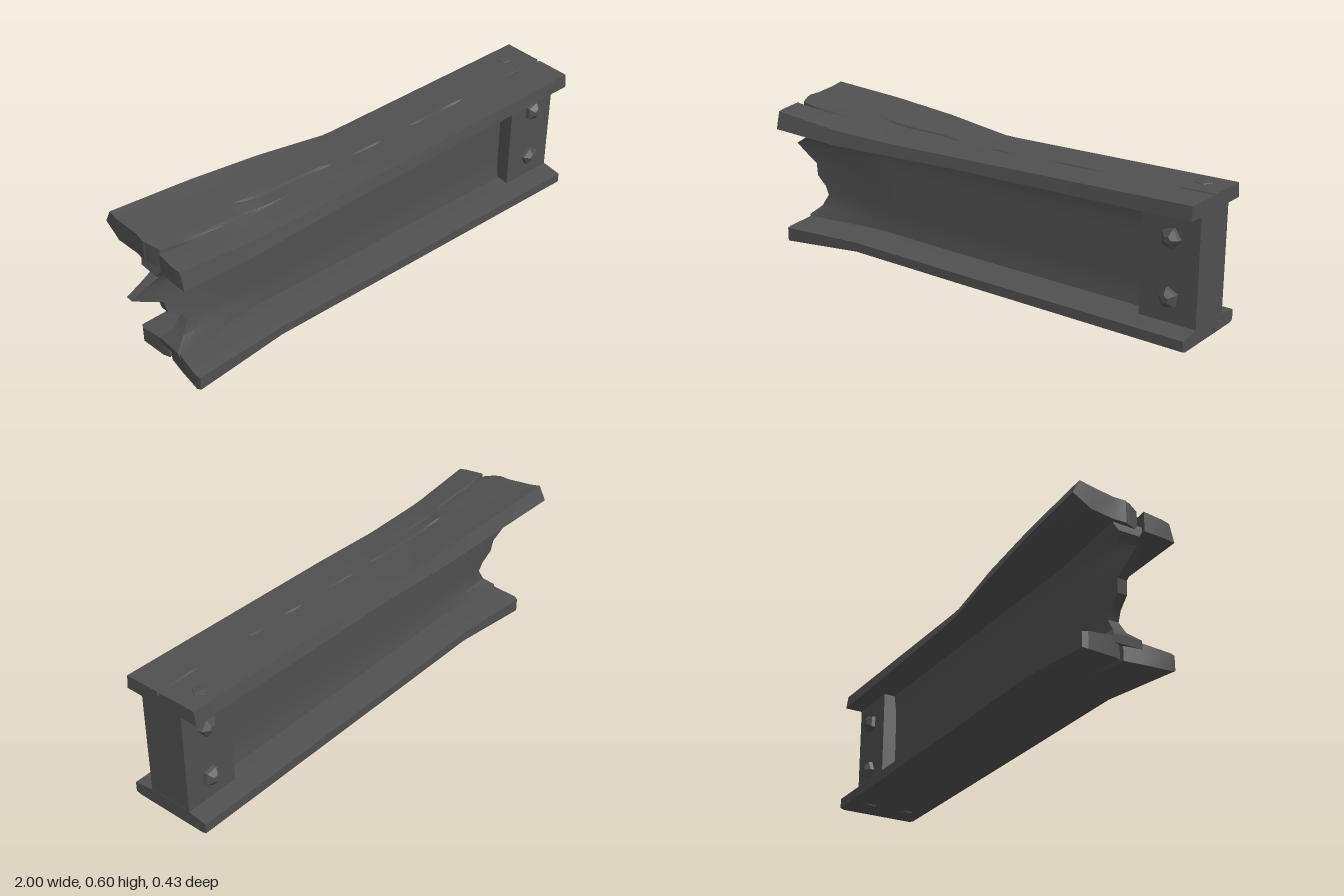
import * as THREE from 'three';
import { toCreasedNormals } from 'three/addons/utils/BufferGeometryUtils.js';

const steel = new THREE.MeshStandardMaterial({ color: 0x505050 });
steel.name = 'dark steel';

const lerp = THREE.MathUtils.lerp;

// Piecewise linear lookup of values ys at positions xs
function key(x, xs, ys) {
  let i = 0;
  while (i < xs.length - 2 && x > xs[i + 1]) i++;
  const t = THREE.MathUtils.clamp((x - xs[i]) / (xs[i + 1] - xs[i]), 0, 1);
  return lerp(ys[i], ys[i + 1], t);
}

// Closed solid between two grids of points: a faces along du x dv, b faces the other way
function shell(nu, nv, a, b) {
  const pos = [];
  const tri = (...pts) => pts.forEach((p) => pos.push(...p));
  const quad = (p, q, r, s) => tri(p, q, r, p, r, s);
  for (let i = 0; i < nu; i++) {
    for (let j = 0; j < nv; j++) {
      quad(a(i, j), a(i + 1, j), a(i + 1, j + 1), a(i, j + 1));
      quad(b(i, j), b(i, j + 1), b(i + 1, j + 1), b(i + 1, j));
    }
  }
  const rim = (i, j, k, l) => quad(a(k, l), a(i, j), b(i, j), b(k, l));
  for (let i = 0; i < nu; i++) {
    rim(i, 0, i + 1, 0);
    rim(i + 1, nv, i, nv);
  }
  for (let j = 0; j < nv; j++) {
    rim(nu, j, nu, j + 1);
    rim(0, j + 1, 0, j);
  }
  const g = new THREE.BufferGeometry();
  g.setAttribute('position', new THREE.Float32BufferAttribute(pos, 3));
  return toCreasedNormals(g, 0.45);
}

function part(name, geometry) {
  const mesh = new THREE.Mesh(geometry, steel);
  mesh.name = name;
  return mesh;
}

// Warped top flange with a split left end and a broken groove along its crown
function topFlange() {
  const xs = [-0.93, -0.6, -0.3, 0, 1];
  const across = [0, 0.17, 0.4, 0.51, 0.53, 0.55, 0.655, 0.685, 0.7, 0.88, 1];
  const ends = [-0.93, -0.93, -0.92, -0.925, -0.92, -0.92, -0.9, -0.76, -0.915, -0.915, -0.91];
  const n = 40, last = across.length - 1;
  const groove = [[-0.52, -0.1], [0.02, 0.14], [0.3, 0.55], [0.84, 1.1]];
  const frame = (i, j) => {
    const x = lerp(ends[i], 1, j / n), t = across[i];
    const zb = key(x, xs, [-0.22, -0.205, -0.185, -0.155, -0.145]);
    const zf = key(x, xs, [0.215, 0.203, 0.195, 0.195, 0.185]);
    return { x, t, z: lerp(zb, zf, t) };
  };
  const top = (i, j) => {
    const { x, t, z } = frame(i, j);
    let y = lerp(key(x, xs, [0.602, 0.588, 0.568, 0.54, 0.556]),
      key(x, xs, [0.56, 0.528, 0.525, 0.533, 0.555]), t);
    const damage = key(x, [-0.9, -0.5, 0.3], [1, 1, 0]);
    y += damage * 0.004 * Math.sin(x * 17 + t * 9) * Math.sin(t * Math.PI);
    if (i === 4) {
      for (const [s, e] of groove) {
        if (x > s && x < e) y -= 0.018 * Math.min(1, (x - s) * 12, (e - x) * 12);
      }
    }
    if (i === 7) y -= key(x, [-0.76, -0.6], [0.018, 0]);
    const inset = key(x, xs, [0.03, 0.025, 0.02, 0.015, 0.008]);
    return [x, y, z + (i === 0 ? inset : i === last ? -inset * 0.6 : 0)];
  };
  const bottom = (i, j) => {
    const { x, t, z } = frame(i, j);
    let y = lerp(key(x, xs, [0.505, 0.503, 0.5, 0.495, 0.5]),
      key(x, xs, [0.488, 0.471, 0.48, 0.49, 0.5]), t);
    if (i === 0) y += key(x, xs, [0.04, 0.03, 0.015, 0.005, 0]);
    return [x, y, z];
  };
  return part('topFlange', shell(last, n, top, bottom));
}

// Bottom flange, drooping at the torn end, thicker towards the web
function bottomFlange() {
  const xs = [-0.88, -0.5, 0, 1];
  const across = [0, 0.05, 0.34, 0.42, 0.44, 0.46, 0.66, 0.95, 1];
  const ends = [-0.87, -0.88, -0.87, -0.86, -0.82, -0.86, -0.87, -0.88, -0.875];
  const n = 30, last = across.length - 1;
  const place = (i, j) => {
    const x = lerp(ends[i], 1, j / n);
    const z = lerp(key(x, xs, [-0.16, -0.152, -0.15, -0.15]), key(x, xs, [0.212, 0.203, 0.2, 0.2]), across[i]);
    return [x, z];
  };
  const top = (i, j) => {
    const [x, z] = place(i, j);
    const crown = key(across[i], [0, 0.34, 0.66, 1], [0, 0.016, 0.016, 0]);
    return [x, key(x, xs, [0.066, 0.084, 0.078, 0.074]) + crown, z];
  };
  const bottom = (i, j) => {
    const [x, z] = place(i, j);
    let y = key(x, xs, [0.003, 0.04, 0.034, 0.028]);
    if (i === 4) y += key(x, [-0.88, -0.5], [0.014, 0]);
    if (i === 0 || i === last) y += 0.006;
    return [x, y, z];
  };
  return part('bottomFlange', shell(last, n, top, bottom));
}

// Thin upright web, torn into points at the left end
function web() {
  const ys = [0.06, 0.09, 0.13, 0.18, 0.215, 0.25, 0.3, 0.33, 0.365, 0.395, 0.43, 0.46, 0.485, 0.515];
  const ends = [-0.87, -0.875, -0.83, -0.8, -0.82, -0.87, -0.88, -0.94, -1, -0.95, -0.89, -0.92, -0.91, -0.9];
  const n = 24;
  const side = (s) => (i, j) => {
    const y = ys[j], x = lerp(ends[j], 0.95, Math.pow(i / n, 1.4));
    const torn = key(x, [-1, -0.5], [1, 0]);
    const flare = key(y, [0.06, 0.09, 0.14, 0.42, 0.485, 0.515], [1, 0.8, 0, 0, 0.8, 1]);
    const half = 0.033 - 0.018 * torn + flare * (0.012 + 0.045 * torn);
    const bend = -0.012 * torn + 0.012 * torn * Math.sin(y * 14);
    return [x, y, 0.022 + bend + s * half];
  };
  return part('web', shell(n, ys.length - 1, side(1), side(-1)));
}

// Five-sided bolt head with a shallow point, rising along +y
function bolt(name, radius, height, spin) {
  const profile = [[0, 0], [radius, 0], [radius * 0.93, height * 0.5], [radius * 0.35, height], [0, height]];
  const lathe = new THREE.LatheGeometry(profile.map(([r, y]) => new THREE.Vector2(r, y)), 5);
  const mesh = part(name, toCreasedNormals(lathe, 0.1));
  mesh.rotation.y = spin;
  const holder = new THREE.Group();
  holder.name = name;
  holder.add(mesh);
  return holder;
}

export function createModel() {
  const beam = new THREE.Group();
  beam.name = 'brokenBeam';
  beam.add(topFlange(), bottomFlange(), web());

  // Thick joining block at the intact end
  const block = part('endBlock', new THREE.BoxGeometry(0.229, 0.43, 0.185));
  block.position.set(0.8845, 0.295, 0.0225);
  beam.add(block);

  // Bolts through the block, front and back
  [0.4, 0.18].forEach((y, k) => {
    for (const s of [1, -1]) {
      const b = bolt(s > 0 ? 'frontBolt' : 'backBolt', 0.041, 0.033, 0.3 + k * 0.5);
      b.position.set(0.888, y, s > 0 ? 0.113 : -0.069);
      b.rotation.x = s * Math.PI / 2;
      beam.add(b);
    }
  });

  // Low bolts on the flanges
  const upper = bolt('topBolt', 0.034, 0.008, 0.4);
  upper.position.set(0.9, 0.553, -0.07);
  beam.add(upper);
  for (const z of [0.11, -0.06]) {
    const lower = bolt('bottomBolt', 0.034, 0.015, 0.2);
    lower.position.set(0.905, 0.031, z);
    lower.rotation.x = Math.PI;
    beam.add(lower);
  }
  return beam;
}
